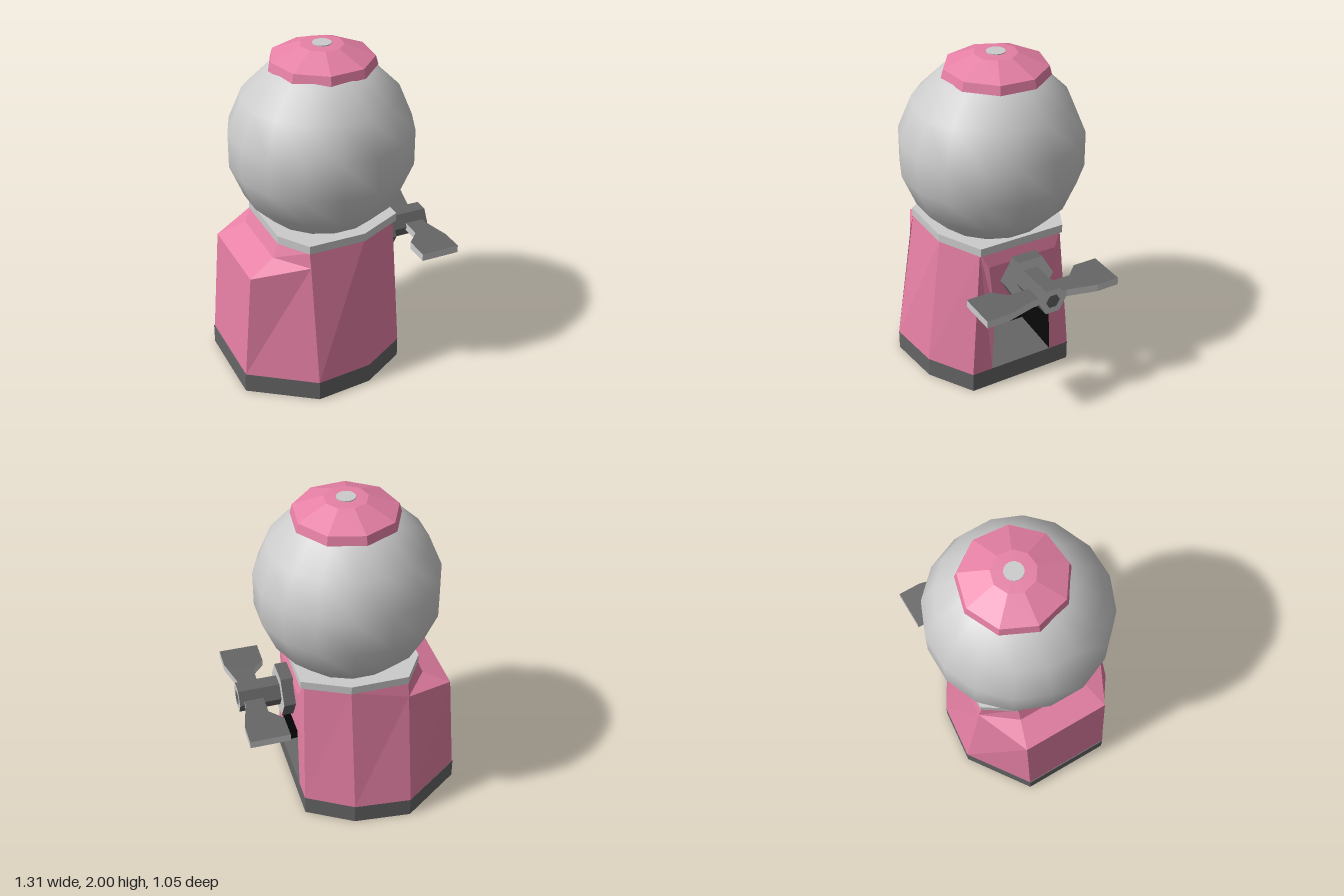
import * as THREE from 'three';

const mat = (color, flat = true) =>
  new THREE.MeshStandardMaterial({ color, flatShading: flat, side: THREE.DoubleSide });
const pink = mat(0xe680a5), light = mat(0xcccccc), dark = mat(0x666666), black = mat(0x0a0a0a);
const glass = mat(0xcccccc, false);

function part(group, name, geometry, material) {
  const mesh = new THREE.Mesh(geometry, material);
  mesh.name = name;
  group.add(mesh);
  return mesh;
}

// Mirror a point, or a whole face, across z = 0
const flip = ([x, y, z]) => [x, y, -z];
const flipFace = (face) => face.map(flip).reverse();
// A band across the middle, spanned by two points and their mirror images
const band = (a, b) => [a, flip(a), flip(b), b];

// Flat faces from polygons given counter-clockwise
function polygons(faces) {
  const pos = [];
  for (const f of faces)
    for (let i = 1; i < f.length - 1; i++) pos.push(...f[0], ...f[i], ...f[i + 1]);
  const g = new THREE.BufferGeometry();
  g.setAttribute('position', new THREE.Float32BufferAttribute(pos, 3));
  g.computeVertexNormals();
  return g;
}

// Upright prism over an outline of [x, z] points
function prism(outline, y0, y1) {
  const shape = new THREE.Shape(outline.map(([x, z]) => new THREE.Vector2(x, -z)));
  const g = new THREE.ExtrudeGeometry(shape, { depth: y1 - y0, bevelEnabled: false });
  return g.rotateX(-Math.PI / 2).translate(0, y0, 0);
}
const mirrored = (half) => [...half, ...half.map(([x, z]) => [x, -z]).reverse()];

function lathe(profile, sides, start) {
  const pts = profile.map(([r, y]) => new THREE.Vector2(r, y));
  return new THREE.LatheGeometry(pts, sides, start);
}

// Hexagonal bar lying along x
function hexBar(radius, x0, x1) {
  return new THREE.CylinderGeometry(radius, radius, x1 - x0, 6)
    .rotateZ(-Math.PI / 2).translate((x0 + x1) / 2, 0.735, -0.01);
}

export function createModel() {
  const model = new THREE.Group();
  model.name = 'candyDispenser';

  // Foot slab and collar under the globe
  const foot = [[0.32, 0.33], [0.05, 0.49], [-0.29, 0.525], [-0.655, 0.27]];
  part(model, 'foot', prism(mirrored(foot), 0, 0.12), dark);
  const collar = [[0.315, 0.27], [0.05, 0.4], [-0.29, 0.4], [-0.41, 0.22]];
  part(model, 'collar', prism(mirrored(collar), 0.935, 0.985), light);

  // Body corners: b = bottom, s = shoulder, n = neck, t = top
  const Ab = [0.32, 0.12, 0.33], At = [0.295, 0.94, 0.265];
  const Bb = [0.05, 0.12, 0.49], Bt = [0.05, 0.94, 0.395];
  const Cb = [-0.29, 0.12, 0.525], Cs = [-0.29, 0.85, 0.415], Ct = [-0.29, 0.94, 0.395];
  const Db = [-0.65, 0.12, 0.27], Ds = [-0.6, 0.775, 0.27];
  const Dn = [-0.44, 0.85, 0.22], Dt = [-0.405, 0.94, 0.215];
  // Opening and the top of the panel above it
  const Ob = [0.32, 0.12, 0.2], Ot = [0.32, 0.54, 0.185], P = [0.32, 0.85, 0.22];
  const half = [
    [Bb, Ab, At, Bt], [Cb, Bb, Bt, Ct, Cs], [Db, Cb, Cs, Ds],
    [Ds, Cs, Dn], [Dn, Cs, Ct, Dt], [At, Ab, Ob, Ot, P],
  ];
  part(model, 'body', polygons([
    ...half, ...half.map(flipFace),
    band(Ot, P), band(P, At),
    band(Ds, Db), band(Dn, Ds), band(Dt, Dn),
  ]), pink);

  // Chute recess with a sloping floor
  const Ib = [0, 0.12, 0.2], It = [0, 0.54, 0.185], If = [0, 0.155, 0.198];
  const wall = [Ob, Ib, It, Ot];
  part(model, 'chuteWalls', polygons([wall, flipFace(wall), band(Ib, It), band(It, Ot)]), black);
  part(model, 'chuteFloor', polygons([band([0.32, 0.123, 0.2], If)]), dark);

  // Faceted globe, smooth shaded
  const globe = [];
  for (let i = 0; i < 8; i++) {
    const a = THREE.MathUtils.degToRad(-78.75 + i * 22.5);
    globe.push([0.546 * Math.cos(a), 0.546 * Math.sin(a)]);
  }
  globe.unshift([0, globe[0][1]]);
  globe.push([0, globe[8][1]]);
  part(model, 'globe', lathe(globe, 16, Math.PI / 16), glass).position.set(-0.04, 1.41, 0);

  // Nine-sided lid with a small button
  const turn = THREE.MathUtils.degToRad(185);
  const lid = [[0, 1.87], [0.312, 1.87], [0.298, 1.922], [0.125, 1.992], [0, 1.997]];
  part(model, 'lid', lathe(lid, 9, turn), pink).position.set(-0.025, 0, -0.02);
  const button = new THREE.CylinderGeometry(0.055, 0.055, 0.01, 16);
  part(model, 'lidButton', button, light).position.set(-0.025, 1.995, -0.02);

  // Turning handle: flange, hub and two flared wings
  const handle = new THREE.Group();
  handle.name = 'handle';
  part(handle, 'flange', hexBar(0.157, 0.315, 0.39), [dark, light, light]);
  part(handle, 'hub', hexBar(0.088, 0.39, 0.638), [dark, light, light]);
  part(handle, 'hubSocket', hexBar(0.045, 0.6, 0.64), dark);
  for (const s of [1, -1]) {
    const wing = [
      [0.495, 0.05], [0.61, 0.05], [0.61, 0.11], [0.655, 0.29],
      [0.655, 0.43], [0.42, 0.43], [0.42, 0.28], [0.495, 0.2],
    ].map(([x, z]) => [x, s * z - 0.01]);
    part(handle, s > 0 ? 'frontWing' : 'backWing', prism(wing, 0.713, 0.758), [dark, light]);
  }
  model.add(handle);

  return model;
}
